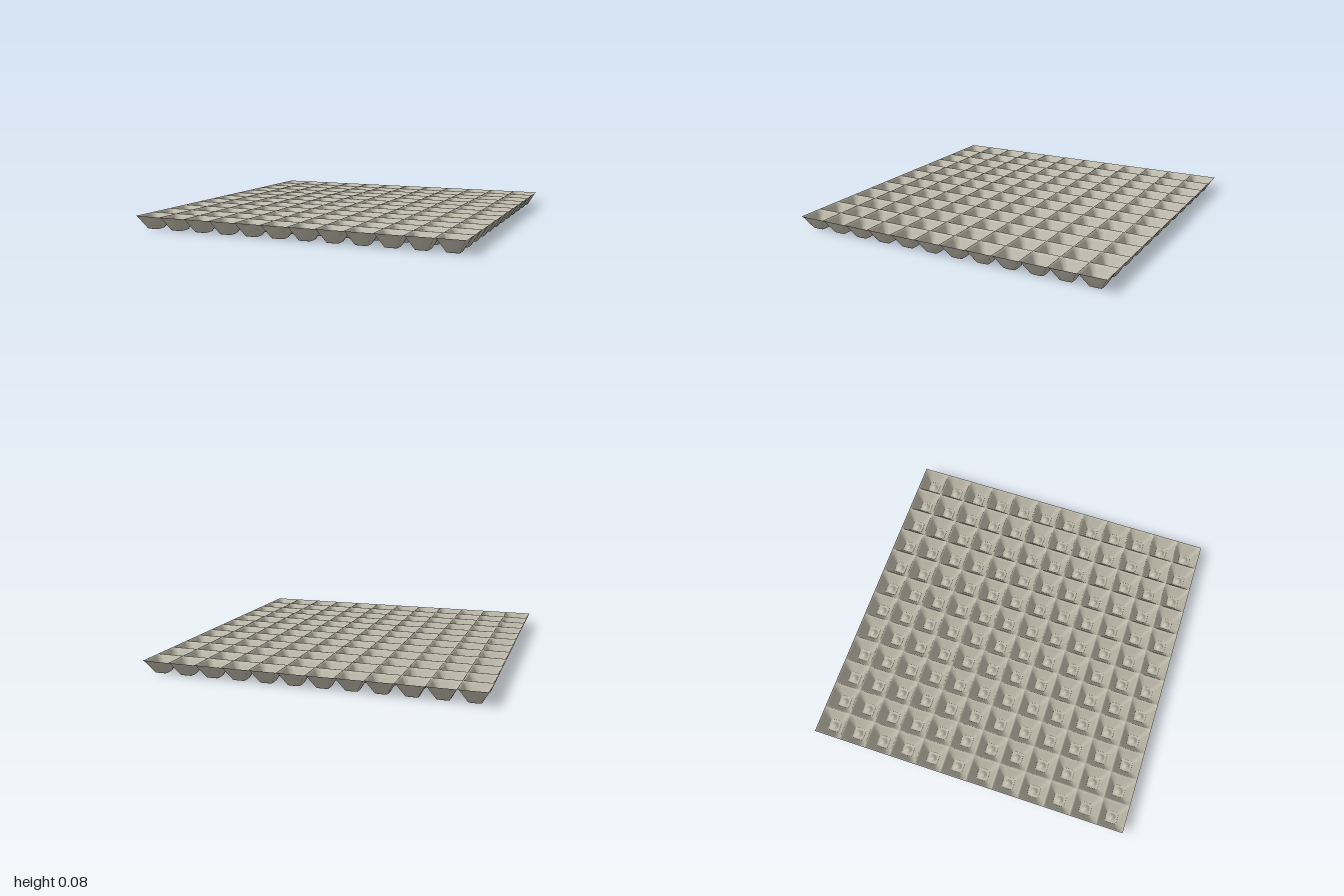
import * as THREE from 'three';
import { mergeVertices } from 'three/addons/utils/BufferGeometryUtils.js';

const CELLS = 12;
const PITCH = 2 / CELLS;
const SIDES = 24;

// One cup as nested rings: [half width, height, roundness from square 0 to circle 1]
const RINGS = [
  [PITCH / 2, 0.08, 0],
  [0.079, 0.078, 0],
  [0.073, 0.069, 0.02],
  [0.068, 0.058, 0.06],
  [0.053, 0.031, 0.12],
  [0.038, 0.003, 0.2],
  [0.035, 0, 0.25],
  [0.026, 0, 0.6],
  [0.022, 0.002, 1],
  [0.015, 0.01, 1],
  [0.008, 0.014, 1],
];

// Point j of a ring lying between a square and its inscribed circle
function ringPoint([half, y, round], j) {
  const a = (j / SIDES) * Math.PI * 2;
  const c = Math.cos(a), s = Math.sin(a);
  const square = 1 / Math.max(Math.abs(c), Math.abs(s));
  const r = half * (square + (1 - square) * round);
  return [r * c, y, r * s];
}

// Adds the cup centred on (cx, cz)
function addCup(positions, index, cx, cz) {
  const start = positions.length / 3;
  for (const ring of RINGS) {
    for (let j = 0; j < SIDES; j++) {
      const [x, y, z] = ringPoint(ring, j);
      positions.push(cx + x, y, cz + z);
    }
  }
  const tip = positions.length / 3;
  positions.push(cx, 0.015, cz);
  for (let i = 0; i < RINGS.length; i++) {
    for (let j = 0; j < SIDES; j++) {
      const k = (j + 1) % SIDES;
      const a = start + i * SIDES + j, b = start + i * SIDES + k;
      if (i === RINGS.length - 1) {
        index.push(a, tip, b);
      } else {
        const c = a + SIDES, d = b + SIDES;
        index.push(a, c, b, b, c, d);
      }
    }
  }
}

export function createModel() {
  const group = new THREE.Group();
  group.name = 'eggTray';
  const pulp = new THREE.MeshStandardMaterial({ color: 0xb6b2a3, side: THREE.DoubleSide });
  pulp.name = 'grey pulp';

  // All cups share their ridges, so the sheet is one smooth surface
  const positions = [], index = [];
  for (let row = 0; row < CELLS; row++) {
    for (let col = 0; col < CELLS; col++) {
      addCup(positions, index, -1 + (col + 0.5) * PITCH, -1 + (row + 0.5) * PITCH);
    }
  }
  let sheet = new THREE.BufferGeometry();
  sheet.setAttribute('position', new THREE.Float32BufferAttribute(positions, 3));
  sheet.setIndex(index);
  sheet = mergeVertices(sheet, 1e-4);
  sheet.computeVertexNormals();

  const tray = new THREE.Mesh(sheet, pulp);
  tray.name = 'cupSheet';
  group.add(tray);
  return group;
}
